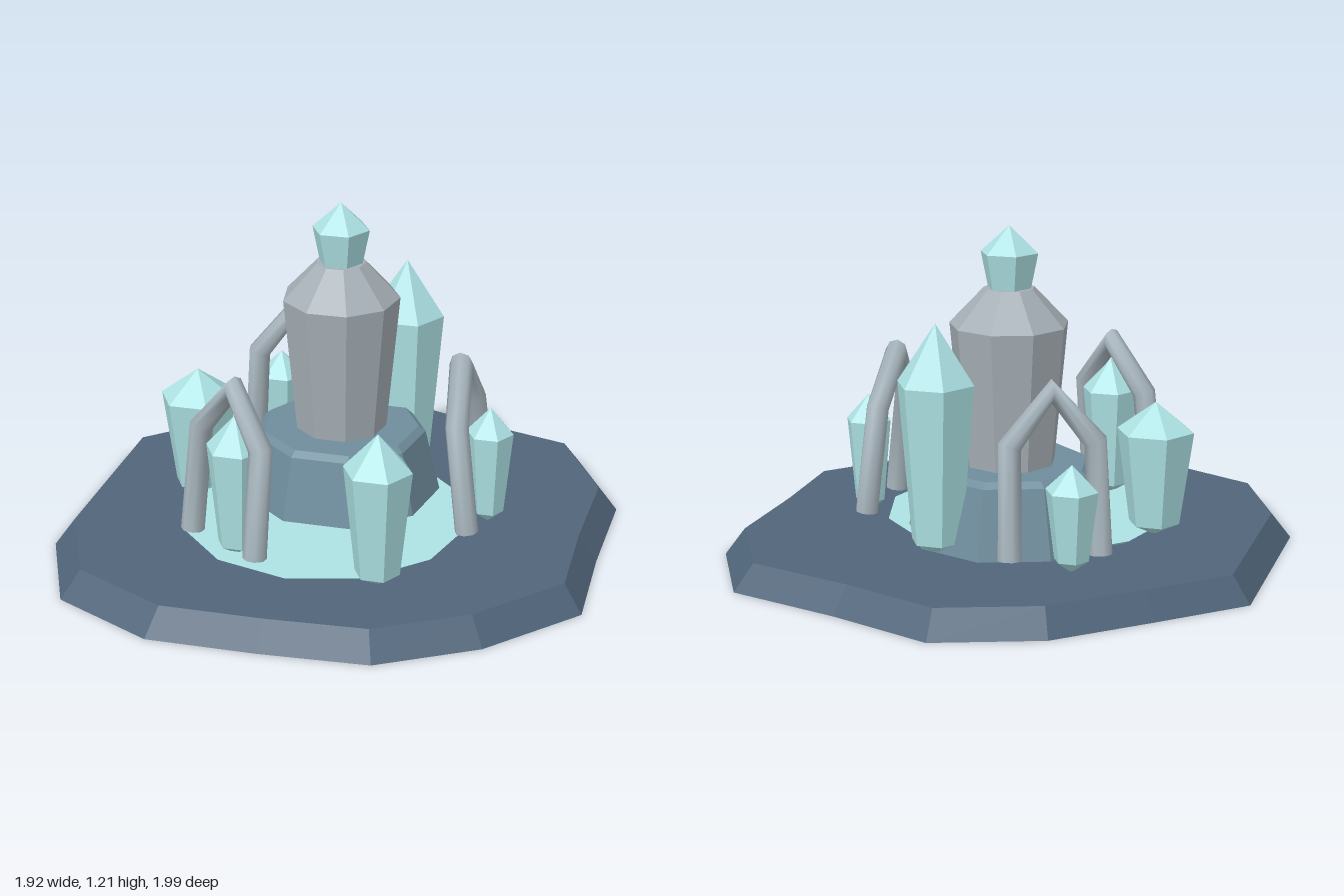
import * as THREE from 'three';

const material = (color) => new THREE.MeshStandardMaterial({ color, flatShading: true, side: THREE.DoubleSide });
const slate = material(0x50657a);
const stone = material(0x6f8d9d);
const towerGrey = material(0xa6afb6);
const crystalBlue = material(0xade2e4);
const pipeGrey = material(0xa9b7bf);

// Faceted solid turned from [radius, y] pairs, listed bottom to top
function turned(name, mat, sides, x, z, profile, phi) {
  const points = profile.map(([r, y]) => new THREE.Vector2(r, y));
  const mesh = new THREE.Mesh(new THREE.LatheGeometry(points, sides, phi), mat);
  mesh.name = name;
  mesh.position.set(x, 0, z);
  return mesh;
}

// Irregular bevelled slab, hollow underneath
function slab() {
  const outline = [
    [-0.03, -1], [-0.4, -0.865], [-0.69, -0.6], [-0.96, -0.345], [-0.96, 0.43], [-0.79, 0.81], [-0.42, 0.99],
    [-0.03, 0.985], [0.35, 0.96], [0.68, 0.765], [0.96, 0.455], [0.95, 0.06], [0.96, -0.365], [0.76, -0.74], [0.345, -0.86],
  ];
  const n = outline.length;
  const height = 0.095;
  const inset = 0.93;
  const positions = [];
  const index = [];
  outline.forEach(([x, z]) => positions.push(x, 0, z));
  outline.forEach(([x, z]) => positions.push(x * inset, height, z * inset));
  positions.push(0, height, 0);
  for (let i = 0; i < n; i++) {
    const j = (i + 1) % n;
    index.push(i, j, n + j, i, n + j, n + i); // bevelled side
    index.push(n + i, n + j, 2 * n); // top
  }
  const geometry = new THREE.BufferGeometry();
  geometry.setAttribute('position', new THREE.Float32BufferAttribute(positions, 3));
  geometry.setIndex(index);
  geometry.computeVertexNormals();
  const mesh = new THREE.Mesh(geometry, slate);
  mesh.name = 'baseSlab';
  return mesh;
}

// Pointed pipe arch leaning towards the middle, feet at radius 0.53
function arch() {
  const curve = new THREE.CatmullRomCurve3([
    [0.535, 0.13, 0.16], [0.49, 0.52, 0.15], [0.47, 0.7, 0], [0.49, 0.52, -0.15], [0.535, 0.13, -0.16],
  ].map((p) => new THREE.Vector3(...p)));
  // One ring per control point keeps the bends sharp
  curve.getPointAt = (t, target) => curve.getPoint(t, target);
  curve.getTangentAt = (t, target) => curve.getTangent(t, target);
  const mat = pipeGrey.clone();
  mat.flatShading = false;
  return new THREE.Mesh(new THREE.TubeGeometry(curve, 4, 0.042, 8), mat);
}

export function createModel() {
  const model = new THREE.Group();
  model.add(slab());

  // Shallow pool dish set into the slab
  model.add(turned('pool', crystalBlue, 12, -0.03, 0.14, [[0, 0.07], [0.45, 0.07], [0.52, 0.11], [0, 0.11]], 0));

  // Pedestal, tower and the crystal on top
  const cx = -0.03, cz = -0.09;
  model.add(turned('pedestal', stone, 9, cx, cz,
    [[0, 0.085], [0.37, 0.085], [0.31, 0.34], [0.285, 0.36], [0, 0.36]], Math.PI));
  model.add(turned('tower', towerGrey, 9, cx, cz,
    [[0, 0.35], [0.165, 0.35], [0.213, 0.86], [0.09, 0.99], [0, 0.99]], Math.PI));
  model.add(turned('towerCrystal', crystalBlue, 6, cx, cz,
    [[0, 0.97], [0.075, 0.97], [0.105, 1.115], [0, 1.21]], Math.PI / 2));

  // Standing crystals: x, z, radius, shoulder height, tip height
  const crystals = [
    [-0.53, 0.05, 0.14, 0.475, 0.58],
    [0.275, 0.58, 0.12, 0.52, 0.65],
    [-0.25, 0.49, 0.105, 0.5, 0.62],
    [0.545, 0.02, 0.085, 0.44, 0.535],
    [0.145, -0.38, 0.14, 0.7, 0.91],
    [-0.36, -0.445, 0.093, 0.38, 0.47],
  ];
  crystals.forEach(([x, z, r, shoulder, tip], i) => {
    model.add(turned(`crystal${i + 1}`, crystalBlue, 6, x, z,
      [[0, 0.09], [r * 0.66, 0.135], [r, shoulder], [0, tip]], Math.PI / 2));
  });

  // Three arches spaced evenly around the pool
  for (let i = 0; i < 3; i++) {
    const mesh = arch();
    mesh.name = `arch${i + 1}`;
    mesh.position.set(-0.03, 0, 0.04);
    mesh.rotation.y = (i * Math.PI * 2) / 3;
    model.add(mesh);
  }
  return model;
}
